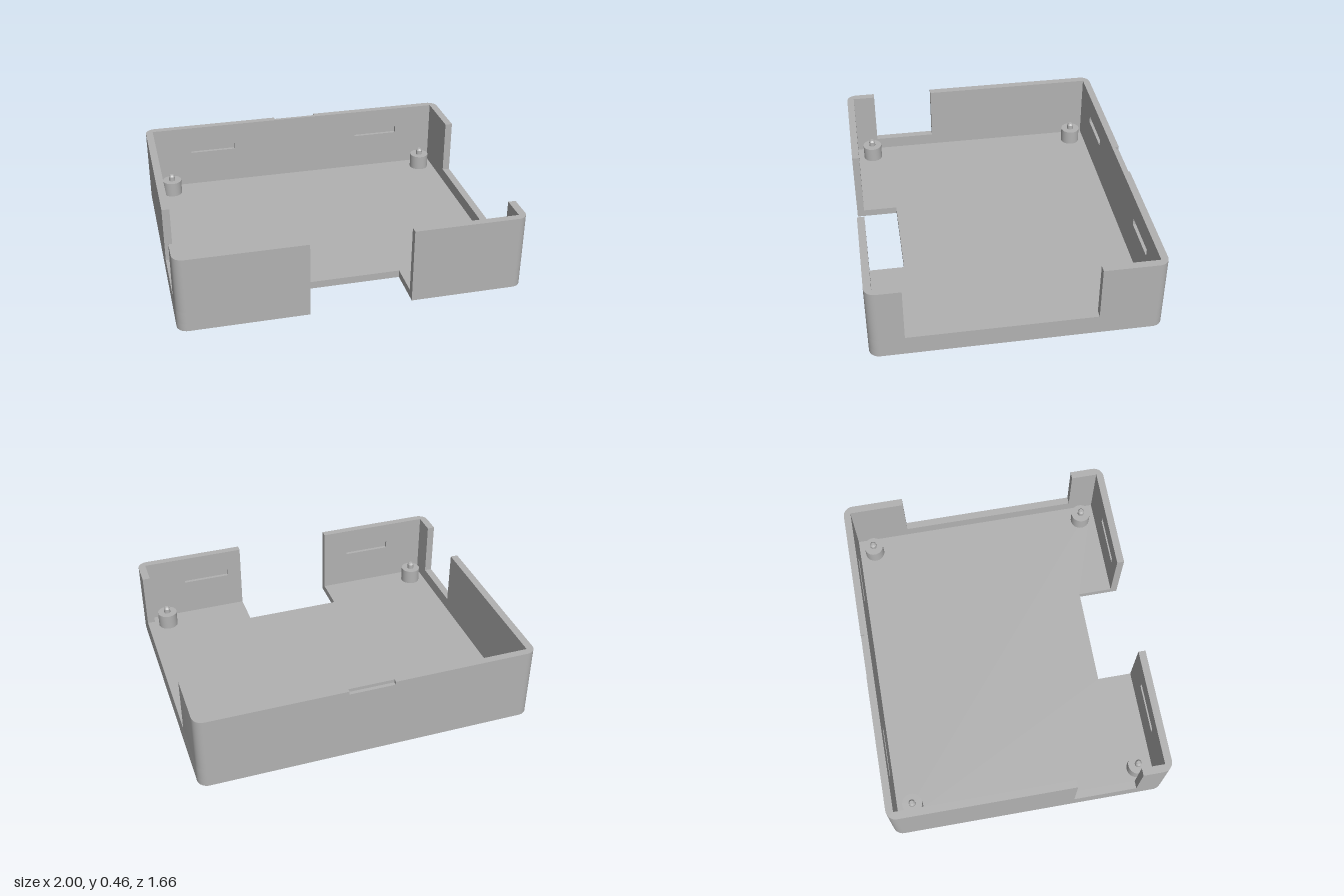
import * as THREE from 'three';
import { mergeGeometries, toCreasedNormals } from 'three/addons/utils/BufferGeometryUtils.js';

// Outlines are [x, z] points, walked so that the solid lies on the inner side.
const W = 1, D = 0.83, R = 0.06;            // outer half width, half depth, corner radius
const IX = 0.955, IZ = 0.787;               // inner half width and depth
const FLOOR = 0.045, SILL = 0.12, TOP = 0.455;
const SLOT = { x0: 0.42, x1: 0.71, y0: 0.275, y1: 0.32, depth: 0.02 };
const LIP = { x: 0.135, depth: 0.022, y: 0.435 };
const GAP = { left: -0.26, right: 0.33, z: 0.58 }; // front opening

// Rounded outer corner, quadrant 0 to 3 starting at +x +z
function corner(q) {
  const sx = q === 0 || q === 3 ? 1 : -1, sz = q < 2 ? 1 : -1, pts = [];
  for (let i = 0; i <= 8; i++) {
    const a = (q + i / 8) * Math.PI / 2;
    pts.push([sx * (W - R) + R * Math.cos(a), sz * (D - R) + R * Math.sin(a)]);
  }
  return pts;
}

const rect = (x0, z0, x1, z1) => [[x0, z0], [x1, z0], [x1, z1], [x0, z1]];

// Detour of an outline from xa to xb, from wall line z in to line zIn
const recess = (xa, xb, z, zIn) => [[xa, z], [xa, zIn], [xb, zIn], [xb, z]];

// Upright faces along a closed outline
function sides(pts, y0, y1) {
  const v = [];
  pts.forEach(([ax, az], i) => {
    const [bx, bz] = pts[(i + 1) % pts.length];
    v.push(ax, y0, az, ax, y1, az, bx, y1, bz, ax, y0, az, bx, y1, bz, bx, y0, bz);
  });
  return new THREE.BufferGeometry().setAttribute('position', new THREE.Float32BufferAttribute(v, 3));
}

// Level face filling an outline
function cap(pts, y, up = true) {
  const shape = new THREE.Shape(pts.map(p => new THREE.Vector2(p[0], p[1])));
  const g = new THREE.ShapeGeometry(shape).rotateX(Math.PI / 2).translate(0, y, 0);
  if (up) g.setIndex(Array.from(g.index.array).reverse());
  const flat = g.toNonIndexed();
  flat.deleteAttribute('uv');
  flat.deleteAttribute('normal');
  return flat;
}

// Outlines of the three tall wall sections
const frontSlot = (xa, xb, on) => on ? recess(xa, xb, IZ, IZ + SLOT.depth) : [];
const backSlot = (xa, xb, on) => on ? recess(xa, xb, -IZ, -IZ - SLOT.depth) : [];

const frontLeftCorner = slot => [
  [GAP.left, D], ...corner(1), [-W, 0.65], [-IX, 0.65], [-IX, IZ],
  ...frontSlot(-SLOT.x1, -SLOT.x0, slot), [GAP.left, IZ]];

const frontRightCorner = slot => [
  [W, 0.63], ...corner(0), [GAP.right, D], [GAP.right, IZ],
  ...frontSlot(SLOT.x0, SLOT.x1, slot), [IX, IZ], [IX, 0.63]];

const backWall = (slot, lip) => [
  [-W, 0.27], ...corner(2),
  ...(lip ? recess(-LIP.x, LIP.x, -D, -D + LIP.depth) : []),
  ...corner(3), [W, -0.455], [IX, -0.455], [IX, -IZ],
  ...backSlot(SLOT.x1, SLOT.x0, slot), ...backSlot(-SLOT.x0, -SLOT.x1, slot),
  [-IX, -IZ], [-IX, 0.27]];

// Tall section with slot recesses in its inner face
function tallWall(outline, slots, hasLip) {
  const parts = [
    sides(outline(false), SILL, SLOT.y0),
    sides(outline(true), SLOT.y0, SLOT.y1),
    sides(outline(false), SLOT.y1, hasLip ? LIP.y : TOP),
    cap(outline(false, hasLip), TOP)];
  if (hasLip) {
    parts.push(sides(outline(false, true), LIP.y, TOP));
    parts.push(cap(rect(-LIP.x, -D, LIP.x, -D + LIP.depth), LIP.y));
  }
  for (const s of slots) {
    parts.push(cap(s, SLOT.y0, true), cap(s, SLOT.y1, false));
  }
  return parts;
}

export function createModel() {
  const model = new THREE.Group();
  model.name = 'enclosureBase';
  const grey = new THREE.MeshStandardMaterial({ color: 0xb2b2b2 });
  grey.name = 'plain grey';

  function add(name, parts) {
    const mesh = new THREE.Mesh(toCreasedNormals(mergeGeometries(parts), 0.5), grey);
    mesh.name = name;
    model.add(mesh);
    return mesh;
  }

  // Floor plate with the front opening
  const outer = [[GAP.left, D], ...corner(1), ...corner(2), ...corner(3), ...corner(0), [GAP.right, D]];
  const plate = [...outer, [GAP.right, GAP.z], [GAP.left, GAP.z]];
  const inside = [[-IX, -IZ], [IX, -IZ], [IX, IZ], [GAP.right, IZ],
    [GAP.right, GAP.z], [GAP.left, GAP.z], [GAP.left, IZ], [-IX, IZ]];
  add('floor', [sides(plate, 0, FLOOR), cap(plate, 0, false), cap(inside, FLOOR)]);

  // Low wall all round, with the sills of the two side openings
  const ring = [...outer, [GAP.right, IZ], [IX, IZ], [IX, -IZ], [-IX, -IZ], [-IX, IZ], [GAP.left, IZ]];
  add('lowerWall', [sides(ring, FLOOR, SILL),
    cap(rect(IX, -0.455, W, 0.63), SILL), cap(rect(-W, 0.27, -IX, 0.65), SILL)]);

  // Tall walls
  const { x0, x1, depth } = SLOT;
  add('frontWallNegativeX', tallWall(frontLeftCorner, [rect(-x1, IZ, -x0, IZ + depth)]));
  add('frontWallPositiveX', tallWall(frontRightCorner, [rect(x0, IZ, x1, IZ + depth)]));
  add('backWall', tallWall(backWall, [
    rect(-x1, -IZ - depth, -x0, -IZ), rect(x0, -IZ - depth, x1, -IZ)], true));

  // Standoffs with a chamfered locating peg
  const profile = [[0.06, FLOOR], [0.06, 0.138], [0.02, 0.138], [0.02, 0.166], [0.011, 0.178], [0, 0.178]]
    .map(p => new THREE.Vector2(p[0], p[1]));
  for (const x of [-0.86, 0.86]) {
    for (const z of [-0.69, 0.69]) {
      add('standoff', [new THREE.LatheGeometry(profile, 32)]).position.set(x, 0, z);
    }
  }
  return model;
}
